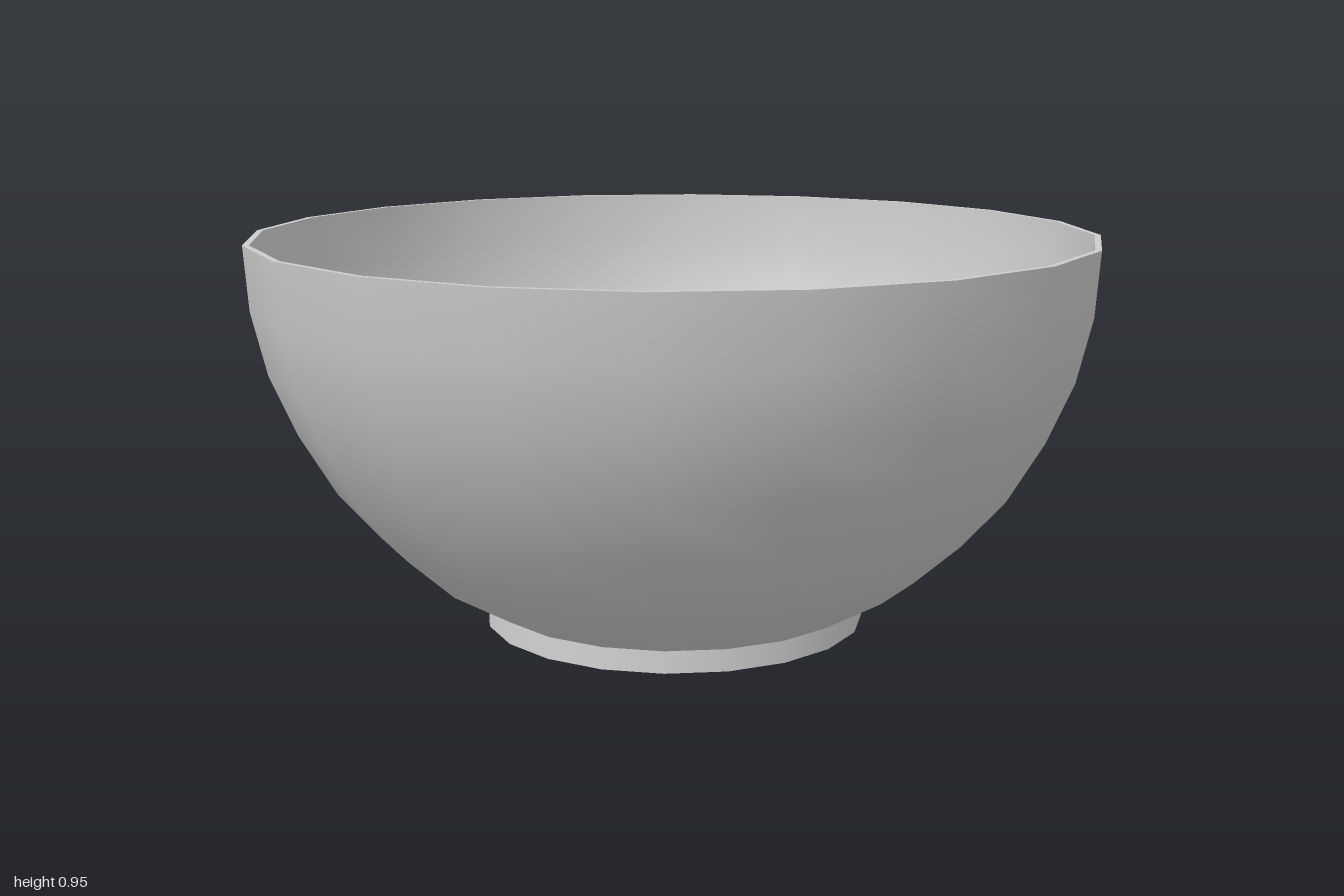
import * as THREE from 'three';

const SIDES = 20;
const grey = new THREE.MeshStandardMaterial({ color: 0xcccccc });
const thin = new THREE.MeshStandardMaterial({ color: 0xcccccc, side: THREE.DoubleSide });
const faceted = new THREE.MeshStandardMaterial({ color: 0xcccccc, flatShading: true });

// Turned surface from [radius, height] points
function lathe(name, points) {
  const profile = points.map(([r, y]) => new THREE.Vector2(r, y));
  const mesh = new THREE.Mesh(new THREE.LatheGeometry(profile, SIDES), grey);
  mesh.name = name;
  return mesh;
}

// Height of the filling: a low dome with a heap on one side
function fillHeight(x, z) {
  const r = Math.min(1, Math.hypot(x, z) / 0.765);
  const d2 = (x - 0.36) ** 2 + (z - 0.2) ** 2;
  return 0.325 + (1 - r * r) * (0.13 + 0.17 * Math.exp(-d2 / 0.08));
}

// Round sheet of rings lifted to the filling height
function createFilling() {
  const rings = [0, 0.22, 0.46, 0.765].map((r) => new THREE.Vector2(r, 0));
  const geometry = new THREE.LatheGeometry(rings, SIDES);
  const p = geometry.attributes.position;
  for (let i = 0; i < p.count; i++) p.setY(i, fillHeight(p.getX(i), p.getZ(i)));
  geometry.computeVertexNormals();
  const mesh = new THREE.Mesh(geometry, thin);
  mesh.name = 'filling';
  return mesh;
}

export function createModel() {
  const model = new THREE.Group();
  model.name = 'bowlOfRings';

  // Bowl: separate surfaces keep the edges between them sharp
  const wall = [[0.455, 0.065], [0.6, 0.15], [0.71, 0.25], [0.81, 0.365],
    [0.895, 0.51], [0.955, 0.65], [0.99, 0.8], [1, 0.95]];
  const inside = wall.map(([r, y], i) => [r - 0.015, i === 7 ? y : y + 0.016]).reverse();
  const bowl = new THREE.Group();
  bowl.name = 'bowl';
  bowl.add(
    lathe('base', [[0, 0], [0.13, 0.005], [0.37, 0.01], [0.46, 0.014]]),
    lathe('foot', [[0.46, 0.014], [0.455, 0.065]]),
    lathe('outerWall', wall),
    lathe('rim', [[1, 0.95], [0.985, 0.95]]),
    lathe('innerWall', [...inside, [0, 0.06]]),
  );
  model.add(bowl, createFilling());

  // Six-sided rings: position, tilt direction (normal) and spin
  const ring = new THREE.TorusGeometry(0.077, 0.038, 6, 6);
  const rings = [
    [[-0.09, 0.47, -0.16], [0.25, 1, 0.22], 0.3],
    [[0.25, 0.51, -0.07], [-0.3, 1, -0.25], 0.1],
    [[0.04, 0.49, 0.09], [-0.1, 1, 0.15], 0.55],
    [[-0.14, 0.51, 0.16], [0.25, 1, -0.12], 0.5],
    [[-0.16, 0.42, 0.11], [-0.3, 1, 0.3], 0.2], // mostly sunk
  ];
  const axis = new THREE.Vector3(0, 0, 1);
  for (const [position, normal, spin] of rings) {
    const mesh = new THREE.Mesh(ring, faceted);
    mesh.name = 'cerealRing';
    mesh.position.set(...position);
    mesh.quaternion.setFromUnitVectors(axis, new THREE.Vector3(...normal).normalize());
    mesh.rotateZ(spin);
    model.add(mesh);
  }
  return model;
}
